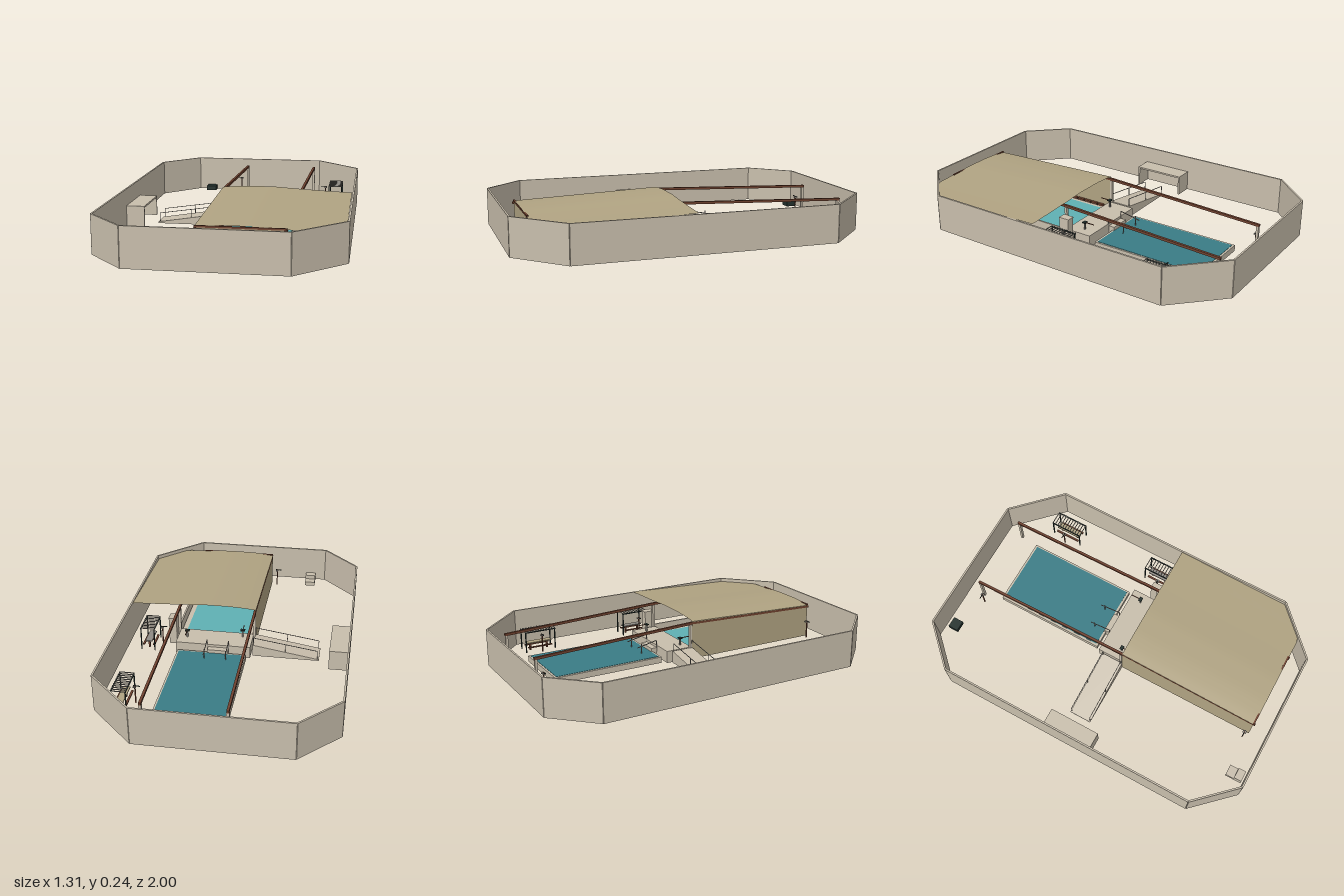
import * as THREE from 'three';

export function createModel() {
  const root = new THREE.Group();
  const mat = (name, color) => {
    const m = new THREE.MeshStandardMaterial({ color });
    m.name = name;
    return m;
  };
  const stone = mat('stone', 0xc8beac);
  const olive = mat('olive roofing', 0xb0a382);
  const water = mat('deep water', 0x3a7c86);
  const lightWater = mat('light water', 0x5fb0b4);
  const wood = mat('brown wood', 0x70422f);
  const metal = mat('grey metal', 0x8f8b84);
  const dark = mat('dark green', 0x22302c);
  olive.side = THREE.DoubleSide;

  const add = (name, geo, m, parent = root) => {
    const mesh = new THREE.Mesh(geo, m);
    mesh.name = name;
    parent.add(mesh);
    return mesh;
  };
  // Box given by its limits on each axis
  const box = (name, x0, x1, y0, y1, z0, z1, m, parent) => {
    const g = new THREE.BoxGeometry(x1 - x0, y1 - y0, z1 - z0);
    g.translate((x0 + x1) / 2, (y0 + y1) / 2, (z0 + z1) / 2);
    return add(name, g, m, parent);
  };
  // Square bar between two points
  const bar = (name, a, b, w, h, m, parent) => {
    const p = new THREE.Vector3(...a), q = new THREE.Vector3(...b);
    const mesh = add(name, new THREE.BoxGeometry(w, h, p.distanceTo(q)), m, parent);
    mesh.position.copy(p).lerp(q, 0.5);
    mesh.lookAt(q);
    return mesh;
  };
  // Side profile (z, y) extruded across x
  const sideProfile = (name, pts, x0, x1, m) => {
    const s = new THREE.Shape(pts.map(p => new THREE.Vector2(...p)));
    const g = new THREE.ExtrudeGeometry(s, { depth: x1 - x0, bevelEnabled: false });
    g.rotateY(-Math.PI / 2).translate(x1, 0, 0);
    return add(name, g, m);
  };

  // Perimeter wall with cut corners
  const corners = [[-0.65, -0.775], [-0.44, -0.995], [0.39, -0.995], [0.648, -0.74],
    [0.648, 0.735], [0.39, 0.99], [-0.44, 0.99], [-0.65, 0.77]];
  corners.forEach(([x, z], i) => {
    const [u, v] = corners[(i + 1) % 8];
    bar('perimeterWall', [x, 0.1075, z], [u, 0.1075, v], 0.01, 0.215, stone);
  });

  // Roof: a shallow crown across x, falling towards the front
  const crown = [[-0.095, 0.228], [-0.04, 0.234], [0.05, 0.239], [0.2, 0.239],
    [0.35, 0.23], [0.5, 0.223], [0.64, 0.218]];
  const roofY = (x, z) => {
    let i = 0;
    while (i < crown.length - 2 && x > crown[i + 1][0]) i++;
    const [a, b] = [crown[i], crown[i + 1]];
    return THREE.MathUtils.mapLinear(x, a[0], b[0], a[1], b[1]) - 0.036 * (z - 0.06);
  };
  const roof = new THREE.PlaneGeometry(1, 1, 24, 6).rotateX(-Math.PI / 2);
  const rp = roof.attributes.position;
  for (let i = 0; i < rp.count; i++) {
    const x = -0.095 + (rp.getX(i) + 0.5) * 0.735;
    const zEnd = Math.min(0.895, 1.375 - x);
    const z = 0.06 + (rp.getZ(i) + 0.5) * (zEnd - 0.06);
    rp.setXYZ(i, x, roofY(x, z), z);
  }
  roof.computeVertexNormals();
  add('roof', roof, olive);

  // Hall side wall, front panel and inner partition
  sideProfile('hallSideWall', [[0.06, 0], [0.89, 0], [0.89, 0.197], [0.06, 0.227]], -0.095, -0.088, olive);
  box('hallFrontPanel', -0.095, 0.36, 0, 0.198, 0.882, 0.89, olive);
  box('innerPartition', 0.36, 0.37, 0, 0.08, 0.06, 0.88, stone);
  box('sideRoom', 0.365, 0.41, 0, 0.16, 0, 0.06, stone);
  box('sideRoomRoof', 0.365, 0.412, 0.16, 0.167, -0.004, 0.06, stone);

  // Wooden beams with end posts
  for (const x of [-0.09, 0.355]) {
    bar('backBeam', [x, 0.178, -0.905], [x, 0.216, 0.06], 0.014, 0.014, wood);
    bar('frontBeam', [x, 0.216, 0.06], [x, 0.188, 0.9], 0.012, 0.012, wood);
    for (const z of [-0.895, 0.05]) {
      box('beamPost', x - 0.008, x + 0.008, 0, z < 0 ? 0.172 : 0.208, z - 0.007, z + 0.007, stone);
    }
  }
  box('frontCrossBeam', -0.095, 0.36, 0.195, 0.205, 0.885, 0.895, wood);

  // Row of floor blocks beside the indoor pool
  for (let i = 0; i < 16; i++) {
    const z = 0.1 + i * 0.048;
    box('floorBlock', -0.086, -0.07, 0, 0.045, z, z + 0.042, wood);
  }

  // Pools
  box('outdoorPoolBasin', -0.065, 0.335, 0, 0.035, -0.78, -0.125, stone);
  box('outdoorPoolWater', -0.052, 0.325, 0.035, 0.037, -0.768, -0.138, water);
  box('indoorPoolBasin', -0.068, 0.355, 0, 0.035, 0.06, 0.88, stone);
  box('indoorPoolWater', -0.045, 0.325, 0.035, 0.037, 0.09, 0.86, lightWater);

  // Deck between the pools, with step and handrails
  box('deck', -0.085, 0.35, 0, 0.07, -0.1, 0.06, stone);
  box('deckStep', 0.04, 0.16, 0, 0.055, -0.135, -0.1, stone);
  for (const x of [0.04, 0.165]) {
    bar('poolRail', [x, 0.1, -0.1], [x, 0.075, -0.225], 0.004, 0.004, metal);
    for (const z of [-0.1, -0.2]) box('poolRailPost', x - 0.002, x + 0.002, 0.03, 0.095, z - 0.002, z + 0.002, metal);
  }
  for (const [x, z, d] of [[0.295, -0.03, -1], [-0.025, 0.02, 1]]) {
    box('deckStandPost', x - 0.004, x + 0.004, 0.07, 0.11, z - 0.004, z + 0.004, metal);
    box('deckStandPlate', x - 0.013, x + 0.013, 0.11, 0.116, z - 0.01, z + 0.01, dark);
    bar('deckStandArm', [x, 0.113, z], [x, 0.113, z + d * 0.06], 0.004, 0.004, wood);
  }

  // Access ramp with handrails
  const ramp = new THREE.Shape([[-0.48, 0], [-0.095, 0], [-0.095, 0.07], [-0.48, 0.008]]
    .map(p => new THREE.Vector2(...p)));
  add('ramp', new THREE.ExtrudeGeometry(ramp, { depth: 0.13, bevelEnabled: false }).translate(0, 0, -0.07), stone);
  for (const z of [-0.065, 0.055]) {
    bar('rampRail', [-0.47, 0.06, z], [-0.1, 0.115, z], 0.003, 0.003, metal);
    for (const x of [-0.47, -0.285, -0.1]) {
      const y = 0.06 + (x + 0.47) * 0.149;
      box('rampRailPost', x - 0.0015, x + 0.0015, y - 0.055, y, z - 0.0015, z + 0.0015, metal);
    }
  }

  // Counter against the side wall
  box('counterTop', -0.648, -0.54, 0.108, 0.118, -0.15, 0.15, stone);
  for (const z of [-0.15, 0.14]) box('counterEnd', -0.648, -0.54, 0, 0.108, z, z + 0.01, stone);
  box('counterBack', -0.648, -0.64, 0, 0.108, -0.14, 0.14, stone);

  // Corner steps and dark storage box
  box('lowStep', -0.378, -0.315, 0, 0.025, 0.88, 0.93, stone);
  box('highStep', -0.378, -0.315, 0, 0.05, 0.93, 0.975, stone);
  box('storageBox', -0.378, -0.315, 0.005, 0.035, -0.965, -0.905, dark);

  // Shower posts
  for (const [x, z] of [[-0.13, -0.87], [-0.13, 0.865], [0.45, -0.645], [0.45, 0]]) {
    const shower = new THREE.Group();
    shower.name = 'showerPost';
    shower.position.set(x, 0, z);
    root.add(shower);
    box('post', -0.003, 0.003, 0, 0.11, -0.003, 0.003, wood, shower);
    box('arm', -0.028, 0.01, 0.106, 0.11, -0.002, 0.002, dark, shower);
    box('head', -0.006, 0.01, 0.1, 0.106, -0.01, 0.01, metal, shower);
  }

  // Slatted shelters over wooden tables
  for (const [z0, z1, y] of [[-0.74, -0.55, 0.125], [-0.1, 0.06, 0.14]]) {
    const shelter = new THREE.Group();
    shelter.name = 'slattedShelter';
    root.add(shelter);
    for (const x of [0.478, 0.556]) {
      box('sideRail', x - 0.003, x + 0.003, y - 0.006, y, z0, z1, dark, shelter);
      for (const z of [z0 + 0.004, z1 - 0.004]) {
        box('leg', x - 0.003, x + 0.003, 0, y - 0.006, z - 0.003, z + 0.003, dark, shelter);
      }
    }
    const n = Math.round((z1 - z0) / 0.017);
    for (let i = 0; i <= n; i++) {
      const z = z0 + 0.002 + (z1 - z0 - 0.004) * i / n;
      box('slat', 0.475, 0.559, y, y + 0.004, z - 0.002, z + 0.002, metal, shelter);
    }
    const c = (z0 + z1) / 2, l = (z1 - z0) / 2 - 0.02;
    box('tableTop', 0.497, 0.537, 0.045, 0.051, c - l, c + l, z0 < -0.5 ? olive : metal, shelter);
    for (const z of [c - l * 0.7, c + l * 0.7]) box('tableLeg', 0.512, 0.522, 0, 0.045, z - 0.005, z + 0.005, wood, shelter);
    for (const x of [0.487, 0.547]) box('bench', x - 0.006, x + 0.006, 0.022, 0.028, c - l, c + l, wood, shelter);
  }

  return root;
}
